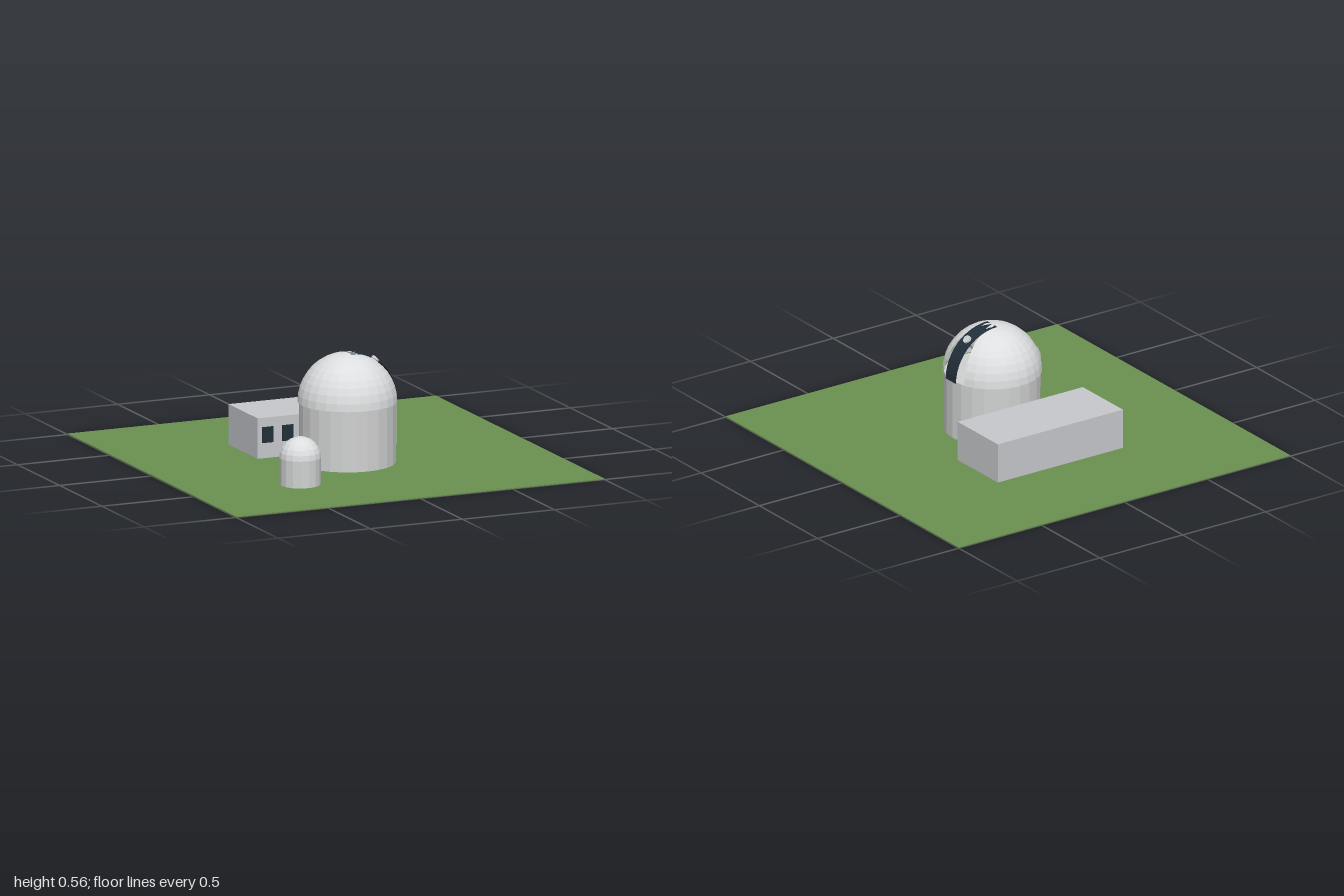
import * as THREE from 'three';

const flat = (name, color, side = THREE.FrontSide) => {
  const m = new THREE.MeshStandardMaterial({ color, flatShading: true, side });
  m.name = name;
  return m;
};

export function createModel() {
  const grass = flat('grass', 0x6a9150);
  const domeWhite = flat('domeWhite', 0xdcdedf, THREE.DoubleSide);
  const wallGrey = flat('wallGrey', 0xd0d1d1);
  const buildingGrey = flat('buildingGrey', 0xc6c8cc);
  const dark = flat('darkGlass', 0x22303a, THREE.DoubleSide);

  const model = new THREE.Group();
  model.name = 'observatory';
  const add = (parent, name, geometry, material, x = 0, y = 0, z = 0) => {
    const mesh = new THREE.Mesh(geometry, material);
    mesh.name = name;
    mesh.position.set(x, y, z);
    parent.add(mesh);
    return mesh;
  };

  // Lawn
  add(model, 'ground', new THREE.BoxGeometry(2, 0.005, 2), grass, 0, 0.0025, 0);

  // Drum with a hemisphere on top; gap is the half angle left open towards +x
  const tower = (name, x, z, wallRadius, domeRadius, wallTop, segments, rings, gap) => {
    const group = new THREE.Group();
    group.name = name;
    group.position.set(x, 0, z);
    model.add(group);
    const h = wallTop - 0.005;
    add(group, 'drumWall', new THREE.CylinderGeometry(wallRadius, wallRadius, h, segments),
      wallGrey, 0, 0.005 + h / 2, 0);
    add(group, 'dome', new THREE.SphereGeometry(domeRadius, segments, rings,
      Math.PI + gap, Math.PI * 2 - gap * 2, 0, Math.PI / 2), domeWhite, 0, wallTop, 0);
    return group;
  };

  const main = tower('mainObservatory', 0, 0.135, 0.24, 0.247, 0.312, 24, 10, 0.36);
  tower('smallObservatory', -0.415, 0.483, 0.102, 0.104, 0.141, 16, 6, 0);

  // Dark curved strip in the dome opening, from the base up to the apex
  const strip = new THREE.CylinderGeometry(1, 1, 0.088, 12, 1, true, 0, Math.PI / 2);
  strip.rotateX(-Math.PI / 2).rotateZ(Math.PI / 2);
  const p = strip.attributes.position;
  for (let i = 0; i < p.count; i++) {
    p.setXY(i, Math.abs(p.getX(i)) * 0.25, Math.abs(p.getY(i)) * 0.2455);
  }
  strip.computeVertexNormals();
  add(main, 'domeSlit', strip, dark, 0, 0.312, 0);

  // Telescope end poking out of the slit
  const telescope = add(main, 'telescope', new THREE.CylinderGeometry(0.021, 0.021, 0.16, 12),
    wallGrey, 0.1, 0.46, 0);
  telescope.rotation.z = -Math.PI / 4;

  // Rectangular building behind, with a row of windows on its front
  const building = new THREE.Group();
  building.name = 'building';
  model.add(building);
  add(building, 'buildingBlock', new THREE.BoxGeometry(0.755, 0.205, 0.345),
    buildingGrey, 0, 0.1075, -0.2775);
  for (let i = -3; i <= 3; i++) {
    add(building, 'window', new THREE.BoxGeometry(0.06, 0.08, 0.008), dark, i * 0.108, 0.123, -0.103);
  }
  return model;
}
